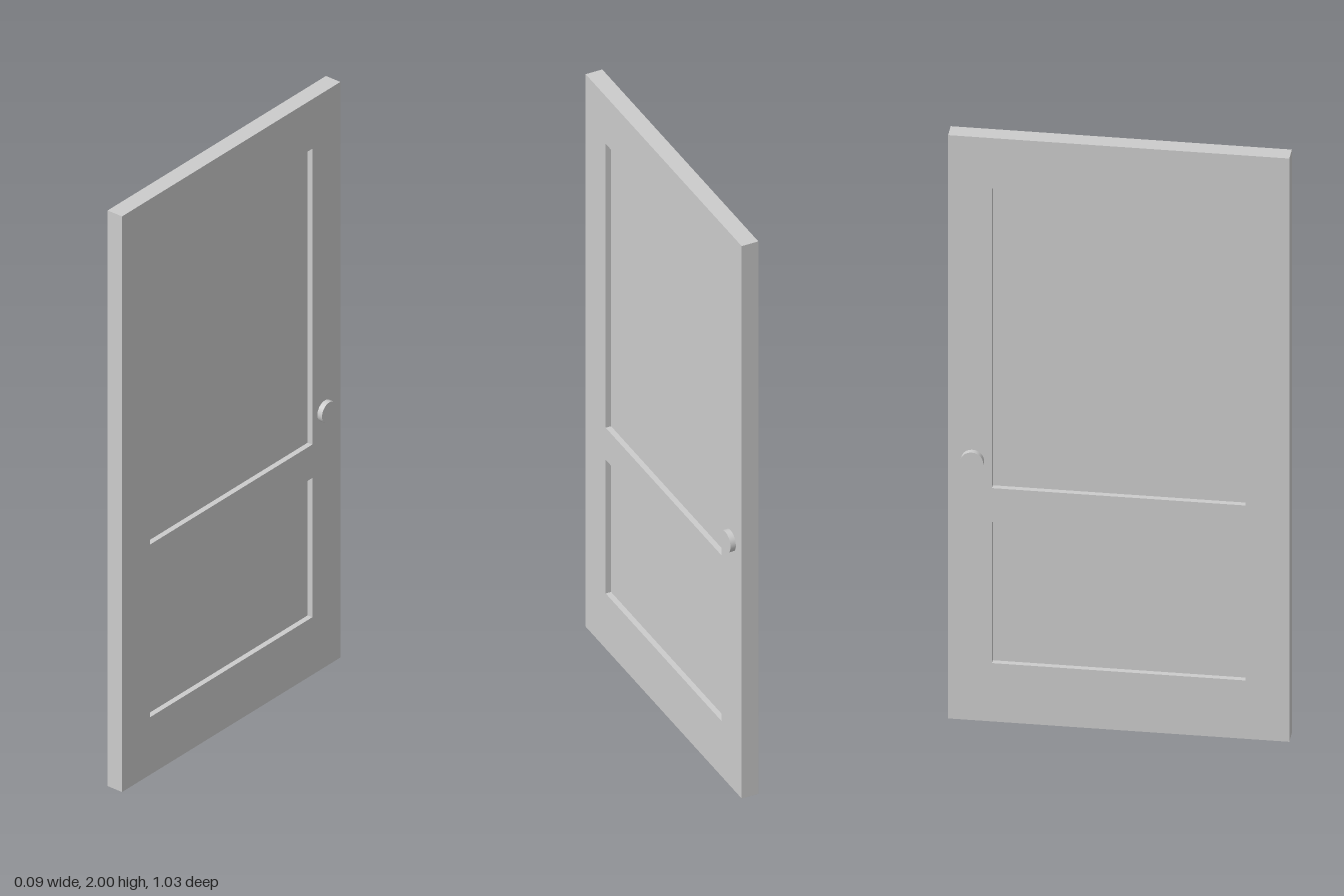
import * as THREE from 'three';

const HEIGHT = 2, HALF_WIDTH = 0.517, THICKNESS = 0.056;
const PANEL_HALF_WIDTH = 0.384, PANEL_THICKNESS = 0.02;
const PANELS = [
  { name: 'lowerPanel', bottom: 0.2, top: 0.684 },
  { name: 'upperPanel', bottom: 0.8, top: 1.828 },
];

// Trace a rectangle centred across the door's width
function rectangle(path, halfWidth, bottom, top) {
  path.moveTo(-halfWidth, bottom);
  path.lineTo(halfWidth, bottom);
  path.lineTo(halfWidth, top);
  path.lineTo(-halfWidth, top);
  path.closePath();
  return path;
}

export function createModel() {
  const door = new THREE.Group();
  door.name = 'door';
  const material = new THREE.MeshStandardMaterial({ color: 0xcccccc });

  const add = (name, geometry, x = 0, y = 0, z = 0) => {
    const mesh = new THREE.Mesh(geometry, material);
    mesh.name = name;
    mesh.position.set(x, y, z);
    door.add(mesh);
  };

  // Frame of stiles and rails, with an opening for each panel
  const outline = rectangle(new THREE.Shape(), HALF_WIDTH, 0, HEIGHT);
  for (const { bottom, top } of PANELS) {
    outline.holes.push(rectangle(new THREE.Path(), PANEL_HALF_WIDTH, bottom, top));
  }
  const frame = new THREE.ExtrudeGeometry(outline, { depth: THICKNESS, bevelEnabled: false });
  frame.translate(0, 0, -THICKNESS / 2).rotateY(-Math.PI / 2);
  add('frame', frame);

  // Panels recessed on both faces
  for (const { name, bottom, top } of PANELS) {
    const panel = new THREE.BoxGeometry(PANEL_THICKNESS, top - bottom, PANEL_HALF_WIDTH * 2);
    add(name, panel, 0, (bottom + top) / 2, 0);
  }

  // Short round knob on each face
  const knobLength = 0.018;
  for (const side of [1, -1]) {
    const knob = new THREE.CylinderGeometry(0.035, 0.035, knobLength, 32).rotateZ(-side * Math.PI / 2);
    add(side > 0 ? 'leftKnob' : 'rightKnob', knob, side * (THICKNESS + knobLength) / 2, 0.892, -0.443);
  }

  return door;
}
